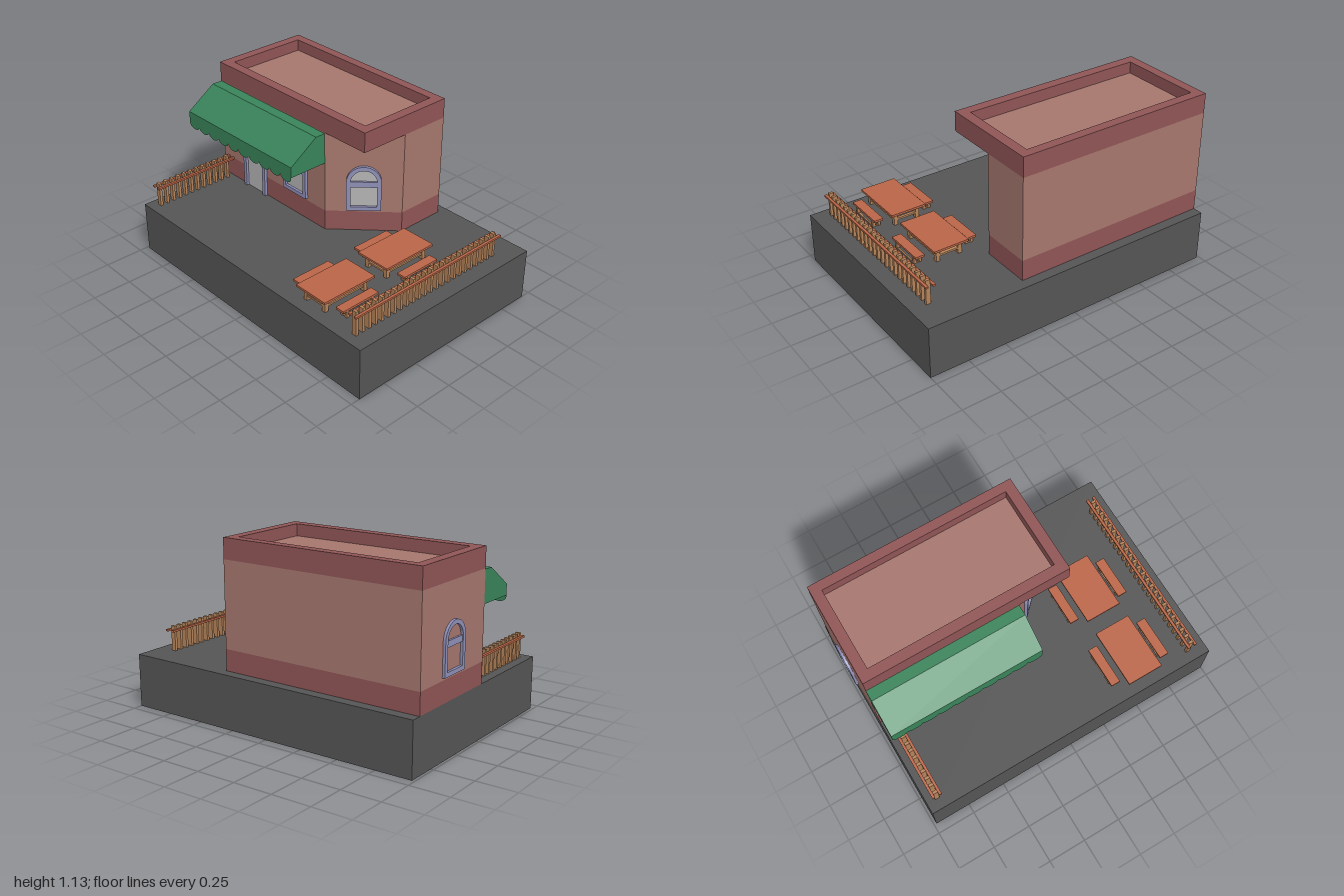
import * as THREE from 'three';

const COLORS = {
  stone: 0x555555, wall: 0xa6776e, band: 0x905556, green: 0x39845a,
  frame: 0x9090b8, glass: 0xb6b6b6, wood: 0xbb6648, picket: 0xb5835a,
};
const mats = {};
for (const [key, color] of Object.entries(COLORS)) {
  mats[key] = new THREE.MeshStandardMaterial({ color, flatShading: true });
}
mats.green.side = mats.glass.side = THREE.DoubleSide;

function add(parent, name, geometry, mat) {
  const mesh = new THREE.Mesh(geometry, mats[mat]);
  mesh.name = name;
  parent.add(mesh);
  return mesh;
}

// Box given by its min and max on each axis
function box(parent, name, mat, x0, x1, y0, y1, z0, z1) {
  const mesh = add(parent, name, new THREE.BoxGeometry(x1 - x0, y1 - y0, z1 - z0), mat);
  mesh.position.set((x0 + x1) / 2, (y0 + y1) / 2, (z0 + z1) / 2);
  return mesh;
}

function group(parent, name) {
  const g = new THREE.Group();
  g.name = name;
  parent.add(g);
  return g;
}

// Floor plan of [x, z] points raised from y0 to y1, with an optional hole
function plan(parent, name, mat, points, y0, y1, hole) {
  const toVec = ([x, z]) => new THREE.Vector2(x, -z);
  const shape = new THREE.Shape(points.map(toVec));
  if (hole) shape.holes.push(new THREE.Path(hole.map(toVec)));
  const geo = new THREE.ExtrudeGeometry(shape, { depth: y1 - y0, bevelEnabled: false });
  geo.rotateX(-Math.PI / 2);
  geo.translate(0, y0, 0);
  return add(parent, name, geo, mat);
}

const rect = (x0, x1, z0, z1) => [[x0, z1], [x1, z1], [x1, z0], [x0, z0]];

const GROUND = 0.334, LEFT = -0.984, RIGHT = 0.34, BACK = -0.625, FRONT = 0.035;

// Arched opening facing +z, centred on x = 0
function archedOpening(parent, name, bottom, sill) {
  const g = group(parent, name);
  const spring = 0.68, R = 0.106, r = 0.08, depth = 0.02;
  const frame = new THREE.Shape();
  frame.moveTo(R, bottom);
  frame.lineTo(R, spring);
  frame.absarc(0, spring, R, 0, Math.PI, false);
  frame.lineTo(-R, bottom);
  frame.lineTo(-r, bottom);
  frame.lineTo(-r, spring);
  frame.absarc(0, spring, r, Math.PI, 0, true);
  frame.lineTo(r, bottom);
  add(g, 'archedFrame', new THREE.ExtrudeGeometry(frame, { depth, bevelEnabled: false, curveSegments: 12 }), 'frame');
  box(g, 'crossbar', 'frame', -r, r, 0.645, 0.682, 0, depth - 0.004);
  if (sill) box(g, 'sill', 'frame', -r, r, bottom, bottom + 0.026, 0, depth);
  const pane = new THREE.Shape();
  pane.moveTo(-r, bottom);
  pane.lineTo(r, bottom);
  pane.lineTo(r, spring);
  pane.absarc(0, spring, r, 0, Math.PI, false);
  add(g, 'glass', new THREE.ShapeGeometry(pane, 12), 'glass').position.z = 0.003;
  return g;
}

function addBuilding(root) {
  const g = group(root, 'building');
  // Walls with a cut front corner
  const footprint = [[LEFT, FRONT], [0.005, FRONT], [RIGHT, -0.295], [RIGHT, BACK], [LEFT, BACK]];
  plan(g, 'lowerWallBand', 'band', footprint, GROUND, 0.467);
  plan(g, 'walls', 'wall', footprint, 0.467, 1.0);
  // Roof slab overhanging the cut corner, parapet and sunken roof floor
  box(g, 'roofSlab', 'band', LEFT, RIGHT, 1.0, 1.05, BACK, FRONT);
  const inner = rect(-0.92, 0.275, -0.565, -0.03);
  plan(g, 'parapet', 'band', rect(LEFT, RIGHT, BACK, FRONT), 1.05, 1.127, inner);
  plan(g, 'roofFloor', 'wall', inner, 1.05, 1.053);
  // Door and windows
  archedOpening(g, 'door', GROUND, false).position.set(-0.653, 0, FRONT);
  archedOpening(g, 'frontWindow', 0.484, true).position.set(-0.258, 0, FRONT);
  const corner = archedOpening(g, 'cornerWindow', 0.484, true);
  corner.position.set(0.1725, 0, -0.13);
  corner.rotation.y = Math.PI / 4;
  const side = archedOpening(g, 'sideWindow', 0.484, true);
  side.position.set(LEFT + 0.004, 0, -0.3);
  side.rotation.y = -Math.PI / 2;
}

function addAwning(root) {
  const g = group(root, 'awning');
  const x0 = LEFT, x1 = 0.005, length = x1 - x0;
  const top = 0.995, lip = 0.864, hem = 0.797, zTop = 0.103, zFront = 0.298;
  // Top and sloping cloth
  const profile = [[FRONT, top], [zTop, top], [zFront, lip]];
  for (let i = 0; i < 2; i++) {
    const [za, ya] = profile[i], [zb, yb] = profile[i + 1];
    const cloth = new THREE.PlaneGeometry(length, Math.hypot(zb - za, yb - ya));
    cloth.rotateX(-Math.atan2(zb - za, ya - yb));
    const mesh = add(g, i ? 'slope' : 'topStrip', cloth, 'green');
    mesh.position.set((x0 + x1) / 2, (ya + yb) / 2, (za + zb) / 2);
  }
  // End panels
  const end = new THREE.Shape([[FRONT, hem], [zFront, hem], [zFront, lip], [zTop, top], [FRONT, top]]
    .map(([z, y]) => new THREE.Vector2(-z, y)));
  for (const x of [x0, x1]) {
    const mesh = add(g, 'endPanel', new THREE.ShapeGeometry(end), 'green');
    mesh.rotation.y = Math.PI / 2;
    mesh.position.x = x;
  }
  // Front valance with a scalloped hem
  const valance = new THREE.Shape();
  const n = 10, w = length / n;
  valance.moveTo(x0, lip);
  valance.lineTo(x0, hem);
  for (let i = 0; i < n; i++) {
    valance.absellipse(x0 + (i + 0.5) * w, hem - 0.008, w / 2, 0.033, Math.PI, 2 * Math.PI, false, 0);
  }
  valance.lineTo(x1, hem);
  valance.lineTo(x1, lip);
  add(g, 'scallopedValance', new THREE.ShapeGeometry(valance, 8), 'green').position.z = zFront;
}

// Table or bench: top board, four legs and rails joining them
function addTrestle(parent, name, x0, x1, z0, z1, top, inset, leg) {
  const g = group(parent, name);
  const under = top - 0.014, rail = top - 0.055;
  box(g, 'topBoard', 'wood', x0, x1, under, top, z0, z1);
  const xs = [x0 + inset, x1 - inset - leg], zs = [z0 + 0.03, z1 - 0.03 - leg];
  for (const x of xs) for (const z of zs) {
    box(g, 'leg', 'picket', x, x + leg, GROUND, under, z, z + leg);
  }
  for (const z of zs) {
    box(g, 'endRail', 'picket', xs[0] + leg, xs[1], rail - 0.012, rail, z + 0.003, z + leg - 0.003);
  }
  for (const x of xs) {
    box(g, 'sideRail', 'picket', x + 0.003, x + leg - 0.003, rail - 0.012, rail, zs[0] + leg, zs[1]);
  }
}

// Fence along z: pickets held between two top rails
function addFence(root, name, x, zBack, zFront, count) {
  const g = group(root, name);
  for (const s of [-1, 1]) {
    const cx = x + s * 0.0225;
    box(g, 'rail', 'wood', cx - 0.0085, cx + 0.0085, 0.461, 0.473, zBack, zFront);
  }
  for (let i = 0; i < count; i++) {
    const z = 0.615 - i * 0.0483;
    box(g, 'picket', 'picket', x - 0.015, x + 0.015, GROUND, 0.492, z - 0.009, z + 0.009);
  }
}

export function createModel() {
  const root = new THREE.Group();
  root.name = 'cafe';
  box(root, 'base', 'stone', LEFT, 1, 0, GROUND, -0.69, 0.69);
  addBuilding(root);
  addAwning(root);

  // Two tables, each with a bench on both sides
  for (const z of [-0.03, 0.446]) {
    const set = group(root, 'picnicSet');
    addTrestle(set, 'table', 0.43, 0.665, z - 0.19, z + 0.19, 0.43, 0.03, 0.025);
    for (const x of [0.34, 0.695]) {
      addTrestle(set, 'bench', x, x + 0.06, z - 0.132, z + 0.136, 0.394, 0.004, 0.016);
    }
  }

  addFence(root, 'leftFence', -0.914, FRONT, 0.64, 12);
  addFence(root, 'rightFence', 0.883, -0.535, 0.64, 24);
  return root;
}
